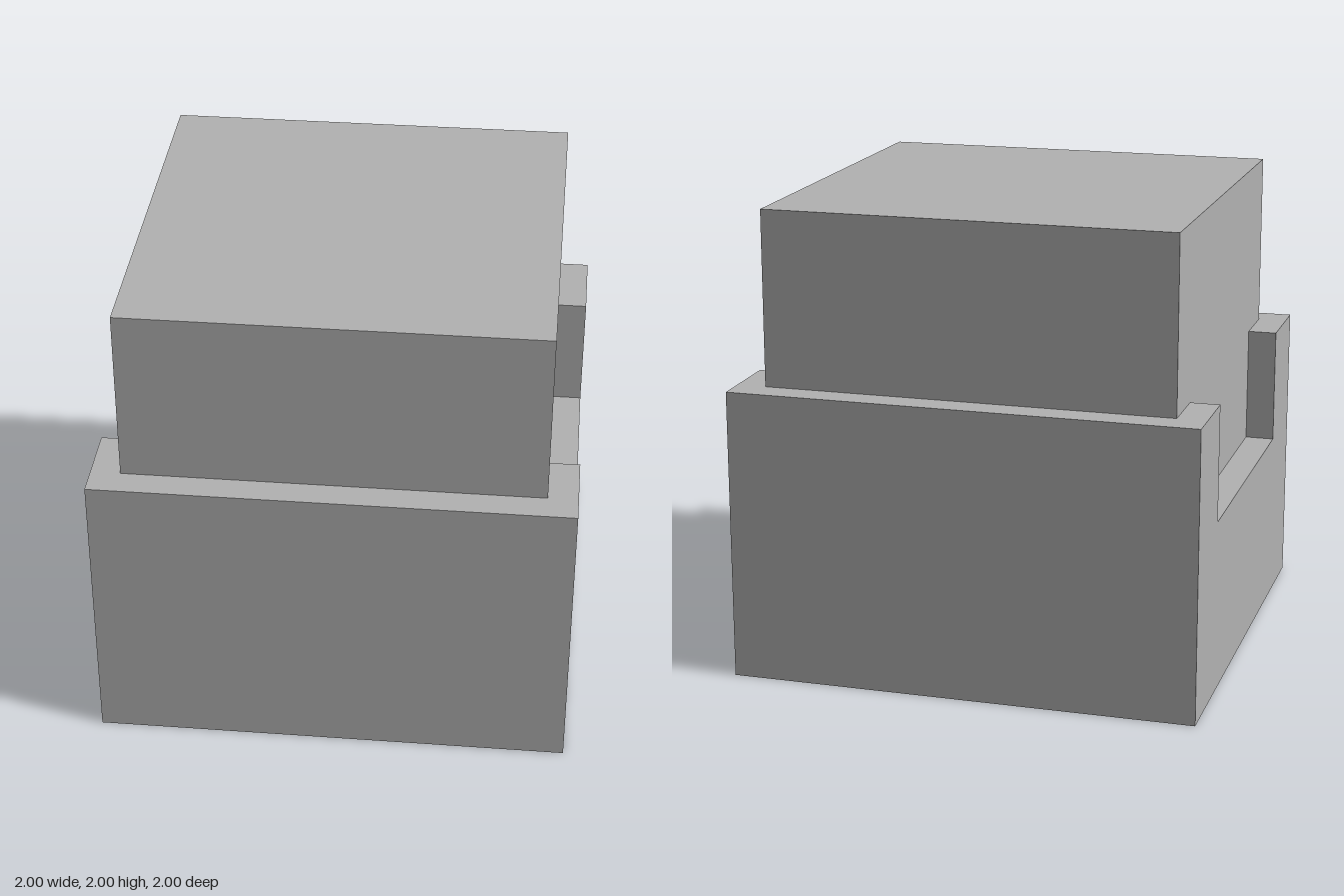
import * as THREE from 'three';

export function createModel() {
  const model = new THREE.Group();
  model.name = 'notchedBox';
  const grey = new THREE.MeshStandardMaterial({ color: 0xb2b2b2 });
  grey.name = 'grey';

  const half = 1, rimY = 1.25;
  const notchHalf = 0.627, notchY = 0.75;
  const blockWidth = 1.75, topY = 2;

  // Outer box: side profile with a thumb notch, extruded across the width
  const profile = new THREE.Shape([
    [-half, 0], [half, 0], [half, rimY], [notchHalf, rimY],
    [notchHalf, notchY], [-notchHalf, notchY], [-notchHalf, rimY], [-half, rimY],
  ].map(([z, y]) => new THREE.Vector2(z, y)));
  const boxGeometry = new THREE.ExtrudeGeometry(profile, { depth: 2 * half, bevelEnabled: false });
  boxGeometry.translate(0, 0, -half).rotateY(Math.PI / 2);
  const outerBox = new THREE.Mesh(boxGeometry, grey);
  outerBox.name = 'outerBox';
  model.add(outerBox);

  // Inner block: stands in the box, showing above the rim and in both notches
  const innerBlock = new THREE.Mesh(new THREE.BoxGeometry(blockWidth, topY - notchY, blockWidth), grey);
  innerBlock.name = 'innerBlock';
  innerBlock.position.y = (topY + notchY) / 2;
  model.add(innerBlock);

  return model;
}
